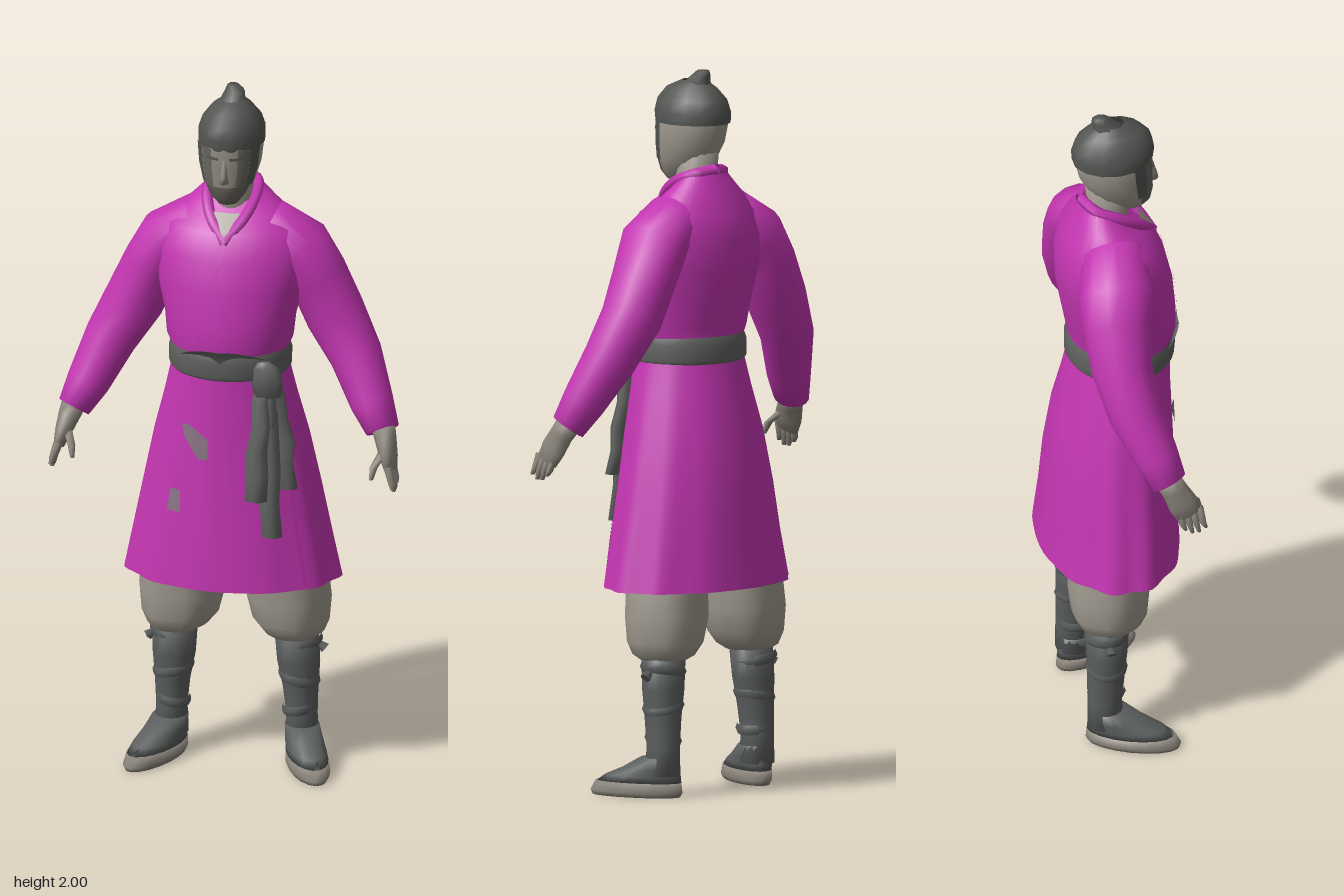
import * as THREE from 'three';

const mat = (name, color, side = THREE.FrontSide) => {
  const m = new THREE.MeshStandardMaterial({ color, side });
  m.name = name;
  return m;
};

export function createModel() {
  const robe = mat('magenta cloth', 0xc436b2, THREE.DoubleSide);
  const faded = mat('faded cloth', 0x8a7486, THREE.DoubleSide);
  const linen = mat('grey linen', 0x9f998e, THREE.DoubleSide);
  const sashMat = mat('sash grey', 0x5f625f, THREE.DoubleSide);
  const boot = mat('boot grey', 0x5b5e5e);
  const hairMat = mat('hair charcoal', 0x535552, THREE.DoubleSide);
  const skin = mat('grey skin', 0x8a857b, THREE.DoubleSide);
  const shade = mat('brownish grey', 0x68645d, THREE.DoubleSide);
  const model = new THREE.Group();

  const add = (name, geo, m, parent = model) => {
    const mesh = new THREE.Mesh(geo, m);
    mesh.name = name;
    parent.add(mesh);
    return mesh;
  };

  // Skin over elliptical rings, lowest first: [x, y, z, rx, rz, tiltZ, tiltX]
  function loft(rows, { s = 1, seg = 20, caps = true, a0 = 0, a1 = Math.PI * 2, ripple = null } = {}) {
    const pos = [], idx = [], full = a1 - a0 > 6.28, n = full ? seg : seg + 1;
    rows.forEach(([x, y, z, rx, rz, tz = 0, tx = 0], r) => {
      for (let i = 0; i < n; i++) {
        const a = a0 + (a1 - a0) * i / seg;
        const k = ripple ? ripple(a, r / (rows.length - 1)) : 1;
        const v = new THREE.Vector3(Math.cos(a) * rx * k, 0, Math.sin(a) * rz * k)
          .applyEuler(new THREE.Euler(tx, 0, tz * s, 'ZYX'));
        pos.push(v.x + x * s, v.y + y, v.z + z);
      }
    });
    for (let r = 0; r < rows.length - 1; r++) for (let i = 0; i < seg; i++) {
      const p = r * n + i, q = r * n + (i + 1) % n;
      idx.push(p, p + n, q, q, p + n, q + n);
    }
    if (caps && full) [0, rows.length - 1].forEach((r) => {
      const c = pos.length / 3;
      pos.push(rows[r][0] * s, rows[r][1], rows[r][2]);
      for (let i = 0; i < n; i++) {
        const p = r * n + i, q = r * n + (i + 1) % n;
        if (r) idx.push(p, c, q); else idx.push(p, q, c);
      }
    });
    const g = new THREE.BufferGeometry();
    g.setAttribute('position', new THREE.Float32BufferAttribute(pos, 3));
    g.setIndex(idx);
    g.computeVertexNormals();
    return g;
  }

  // Front surface depth of a stack of rings
  function frontZ(rows, x, y) {
    let i = 0;
    while (i < rows.length - 2 && y > rows[i + 1][1]) i++;
    const t = (y - rows[i][1]) / (rows[i + 1][1] - rows[i][1]);
    const [, , z, rx, rz] = rows[i].map((v, k) => THREE.MathUtils.lerp(v, rows[i + 1][k] ?? v, t));
    return z + rz * Math.sqrt(Math.max(0, 1 - (x / rx) ** 2));
  }

  // Thin strip lying on a front surface, top first: [x, y, halfWidth]
  function strip(rows, pts, lift = 0.006) {
    const pos = [], idx = [], steps = 6;
    for (let k = 0; k <= (pts.length - 1) * steps; k++) {
      const i = Math.min(Math.floor(k / steps), pts.length - 2), t = k / steps - i;
      const [x, y, w] = pts[i].map((v, j) => THREE.MathUtils.lerp(v, pts[i + 1][j], t));
      for (const e of [-w, 0, w]) pos.push(x + e, y, frontZ(rows, x + e, y) + lift);
      if (k) for (const j of [0, 1]) {
        const p = (k - 1) * 3 + j;
        idx.push(p, p + 3, p + 1, p + 1, p + 3, p + 4);
      }
    }
    const g = new THREE.BufferGeometry();
    g.setAttribute('position', new THREE.Float32BufferAttribute(pos, 3));
    g.setIndex(idx);
    g.computeVertexNormals();
    return g;
  }

  const tube = (pts, r, seg = 12) => new THREE.TubeGeometry(
    new THREE.CatmullRomCurve3(pts.map((p) => new THREE.Vector3(...p))), seg, r, 6);

  // Robe
  const skirt = [[0, 0.575, -0.004, 0.3, 0.195], [0, 0.7, 0, 0.275, 0.186], [0, 0.85, 0.002, 0.245, 0.177],
    [0, 1, 0.01, 0.214, 0.164], [0, 1.12, 0.022, 0.183, 0.148], [0, 1.22, 0.032, 0.16, 0.138]];
  const torso = [[0, 1.2, 0.032, 0.158, 0.138], [0, 1.265, 0.035, 0.165, 0.144], [0, 1.29, 0.036, 0.176, 0.151],
    [0, 1.35, 0.03, 0.182, 0.156], [0, 1.45, 0.016, 0.206, 0.16], [0, 1.54, 0.005, 0.215, 0.15], [0, 1.61, -0.003, 0.19, 0.126],
    [0, 1.66, -0.008, 0.128, 0.09, 0, 0.25], [0, 1.705, -0.014, 0.076, 0.066, 0, 0.5]];
  add('robeSkirt', loft(skirt, { seg: 64, caps: false,
    ripple: (a, t) => 1 + 0.025 * (1 - t) * Math.cos(11 * a) * Math.abs(Math.cos(a)) }), robe);
  add('robeTorso', loft(torso, { seg: 32, caps: false }), robe);
  add('robeOverlap', strip(torso, [[0, 1.57, 0.004], [-0.03, 1.42, 0.004], [-0.08, 1.3, 0.004]], 0.004), robe);
  add('innerCollar', strip(torso, [[0, 1.66, 0.04], [0, 1.605, 0.004]], 0.004), linen);
  add('upperPatch', strip(skirt, [[-0.1, 1.055, 0.012], [-0.07, 1.02, 0.035], [-0.05, 0.96, 0.014]], 0.007), faded);
  add('lowerPatch', strip(skirt, [[-0.13, 0.86, 0.015], [-0.135, 0.795, 0.02]], 0.007), faded);

  // Sash, arched at the front, with hanging tails
  add('sash', loft([[0, 1.195, 0.031, 0.164, 0.144], [0, 1.205, 0.032, 0.17, 0.151],
    [0, 1.25, 0.034, 0.171, 0.153], [0, 1.27, 0.035, 0.165, 0.146]], { seg: 32, caps: false }), sashMat);
  add('sashArch', strip(torso, [[0, 1.287, 0.045], [0, 1.275, 0.09], [0, 1.25, 0.13]], 0.01), sashMat);
  add('sashKnot', loft([[0.125, 1.15, 0.145, 0.04, 0.02], [0.125, 1.2, 0.147, 0.045, 0.026],
    [0.12, 1.235, 0.148, 0.04, 0.022], [0.115, 1.252, 0.148, 0.02, 0.012]], { seg: 8 }), sashMat);
  [[0.1, 0.85, 0.032], [0.138, 0.745, 0.028], [0.172, 0.88, 0.034]].forEach(([x, y, w], i) => {
    const rows = [0, 0.2, 0.4, 0.6, 0.8, 1].map((t) => {
      const yy = THREE.MathUtils.lerp(y, 1.21, t), xx = THREE.MathUtils.lerp(x, 0.125, t * t);
      return [xx + 0.006 * Math.sin(t * 14 + i), yy, frontZ(skirt, xx, yy) + 0.012, w * (1 - 0.2 * t), 0.02];
    });
    add('sashTail' + (i + 1), loft(rows, { seg: 10, ripple: (a) => 1 + 0.15 * Math.cos(5 * a + i) }), sashMat);
  });

  // Neck, head and hair
  add('neck', loft([[0, 1.6, -0.005, 0.06, 0.06], [0, 1.68, 0, 0.054, 0.055], [0, 1.78, 0, 0.06, 0.066]]), linen);
  const head = [[0, 1.69, 0.062, 0.028, 0.034], [0, 1.715, 0.052, 0.05, 0.066], [0, 1.75, 0.036, 0.07, 0.088],
    [0, 1.8, 0.022, 0.084, 0.102], [0, 1.86, 0.014, 0.09, 0.108], [0, 1.91, 0.012, 0.078, 0.096]];
  const shell = (from, to, t) => head.slice(from, to).map(([x, y, z, rx, rz]) => [x, y, z, rx + t, rz + t]);
  add('head', loft(head), linen);
  add('face', loft(shell(2, 6, 0.002), { seg: 10, a0: 0.9, a1: Math.PI - 0.9 }), skin);
  add('chin', loft(shell(0, 3, 0.003), { seg: 10, a0: 0.5, a1: Math.PI - 0.5 }), shade);
  add('nose', loft([[0, 1.765, 0.122, 0.014, 0.022], [0, 1.785, 0.122, 0.011, 0.018], [0, 1.84, 0.115, 0.006, 0.008]],
    { seg: 8 }), skin);
  add('hairCap', loft([[0, 1.855, 0.013, 0.093, 0.113], [0, 1.885, 0.014, 0.094, 0.116], [0, 1.92, 0.016, 0.082, 0.108],
    [0, 1.95, 0.018, 0.06, 0.08], [0, 1.972, 0.008, 0.03, 0.038]], { seg: 14, caps: false }), hairMat);
  add('topKnot', loft([[0, 1.94, 0.005, 0.048, 0.055], [0, 1.968, -0.004, 0.034, 0.038],
    [0.002, 1.985, -0.018, 0.028, 0.028], [-0.004, 2, -0.022, 0.016, 0.018]], { seg: 8 }), hairMat);

  for (const s of [1, -1]) {
    const side = new THREE.Group();
    side.name = s > 0 ? 'leftLimbs' : 'rightLimbs';
    model.add(side);

    // Hair framing the face, with a softer shaded cheek inside it
    const arc = (a, b) => (s > 0 ? { seg: 6, a0: a, a1: b } : { seg: 6, a0: Math.PI - b, a1: Math.PI - a });
    add('sideHair', loft(shell(2, 5, 0.005), arc(0.38, 0.75)), hairMat, side);
    add('cheek', loft(shell(2, 5, 0.004), arc(0.75, 1.15)), shade, side);
    add('eyebrow', strip(head, [[s * 0.034, 1.838, 0.019], [s * 0.034, 1.83, 0.017]], 0.007), hairMat, side);

    // Collar edge and skirt slit
    add('collar', tube([[0, 1.73, -0.076], [s * 0.058, 1.718, -0.045], [s * 0.069, 1.695, 0.01],
      [s * 0.046, 1.645, 0.082], [-s * 0.005, 1.585, 0.127]], 0.016, 20), robe, side);
    add('skirtSlit', strip(skirt, [[s * 0.15, 1.14, 0.003], [s * 0.19, 0.85, 0.004], [s * 0.23, 0.585, 0.005]], 0.007),
      robe, side);

    // Sleeve and hand
    add('sleeve', loft([[0.434, 1.043, 0.065, 0.046, 0.052, 0.45, -0.4], [0.4, 1.11, 0.04, 0.06, 0.062, 0.45, -0.35],
      [0.345, 1.23, -0.008, 0.073, 0.076, 0.5, -0.25], [0.282, 1.34, -0.03, 0.084, 0.086, 0.5],
      [0.232, 1.45, -0.03, 0.083, 0.096, 0.55], [0.186, 1.53, -0.02, 0.088, 0.106, 0.8],
      [0.1, 1.6, -0.012, 0.07, 0.088, 1.1]], { s, seg: 16 }), robe, side);
    add('palm', loft([[0.467, 0.945, 0.115, 0.015, 0.038, 0.3, -0.4], [0.458, 0.98, 0.1, 0.023, 0.044, 0.35, -0.4],
      [0.446, 1.02, 0.08, 0.03, 0.038, 0.4, -0.4], [0.436, 1.05, 0.062, 0.034, 0.038, 0.45, -0.4]],
      { s, seg: 10 }), skin, side);
    for (let f = 0; f < 4; f++) {
      const z = 0.088 + f * 0.019, drop = 0.012 * Math.abs(f - 1.5);
      add('finger', loft([[0.48, 0.888 + drop, z + 0.014, 0.006, 0.006], [0.477, 0.92, z + 0.007, 0.01, 0.01],
        [0.464, 0.965, z, 0.012, 0.012]], { s, seg: 6 }), skin, side);
    }
    add('thumb', loft([[0.42, 0.93, 0.158, 0.006, 0.007], [0.425, 0.962, 0.145, 0.011, 0.012],
      [0.447, 1, 0.105, 0.014, 0.016]], { s, seg: 6 }), skin, side);

    // Baggy trouser leg
    add('trouserLeg', loft([[0.165, 0.38, -0.035, 0.064, 0.065], [0.163, 0.394, -0.035, 0.084, 0.088],
      [0.156, 0.43, -0.035, 0.106, 0.106], [0.15, 0.5, -0.035, 0.118, 0.113], [0.145, 0.6, -0.03, 0.112, 0.112],
      [0.12, 0.8, -0.01, 0.1, 0.11]], { s, seg: 24, ripple: (a) => 1 + 0.025 * Math.cos(6 * a) }), linen, side);

    // Wrapped boot and shoe
    add('bootShaft', loft([[0.183, 0.06, -0.052, 0.048, 0.05], [0.183, 0.14, -0.054, 0.044, 0.048],
      [0.18, 0.22, -0.05, 0.05, 0.052], [0.175, 0.3, -0.046, 0.061, 0.057], [0.17, 0.39, -0.042, 0.063, 0.06]],
      { s, seg: 14 }), boot, side);
    [[0.355, 0.064, 0.06], [0.25, 0.057, 0.056], [0.16, 0.047, 0.051]].forEach(([y, rx, rz], i) => {
      const t = (i % 2 ? -0.2 : 0.15);
      add('bootWrap', loft([[0.177, y - 0.014, -0.048, rx - 0.003, rz - 0.003, t], [0.177, y, -0.048, rx + 0.003, rz + 0.003, t],
        [0.177, y + 0.014, -0.047, rx - 0.002, rz - 0.002, t]], { s, seg: 14, caps: false }), boot, side);
    });
    add('bootTie', new THREE.ConeGeometry(0.016, 0.05, 5).rotateZ(s * 0.9).translate(s * 0.23, 0.352, -0.05), boot, side);
    const foot = new THREE.Group();
    foot.name = 'foot';
    foot.position.set(s * 0.183, 0, -0.05);
    foot.rotation.y = s * 0.42;
    side.add(foot);
    add('sole', loft([[0, 0, 0.076, 0.05, 0.128], [0, 0.012, 0.076, 0.056, 0.134], [0, 0.04, 0.07, 0.055, 0.125]],
      { seg: 18 }), skin, foot);
    add('shoe', loft([[0, 0.038, 0.069, 0.054, 0.124], [0, 0.058, 0.056, 0.053, 0.109], [0, 0.08, 0.032, 0.051, 0.082],
      [0, 0.11, 0.006, 0.048, 0.056]], { seg: 18 }), boot, foot);
  }
  return model;
}
